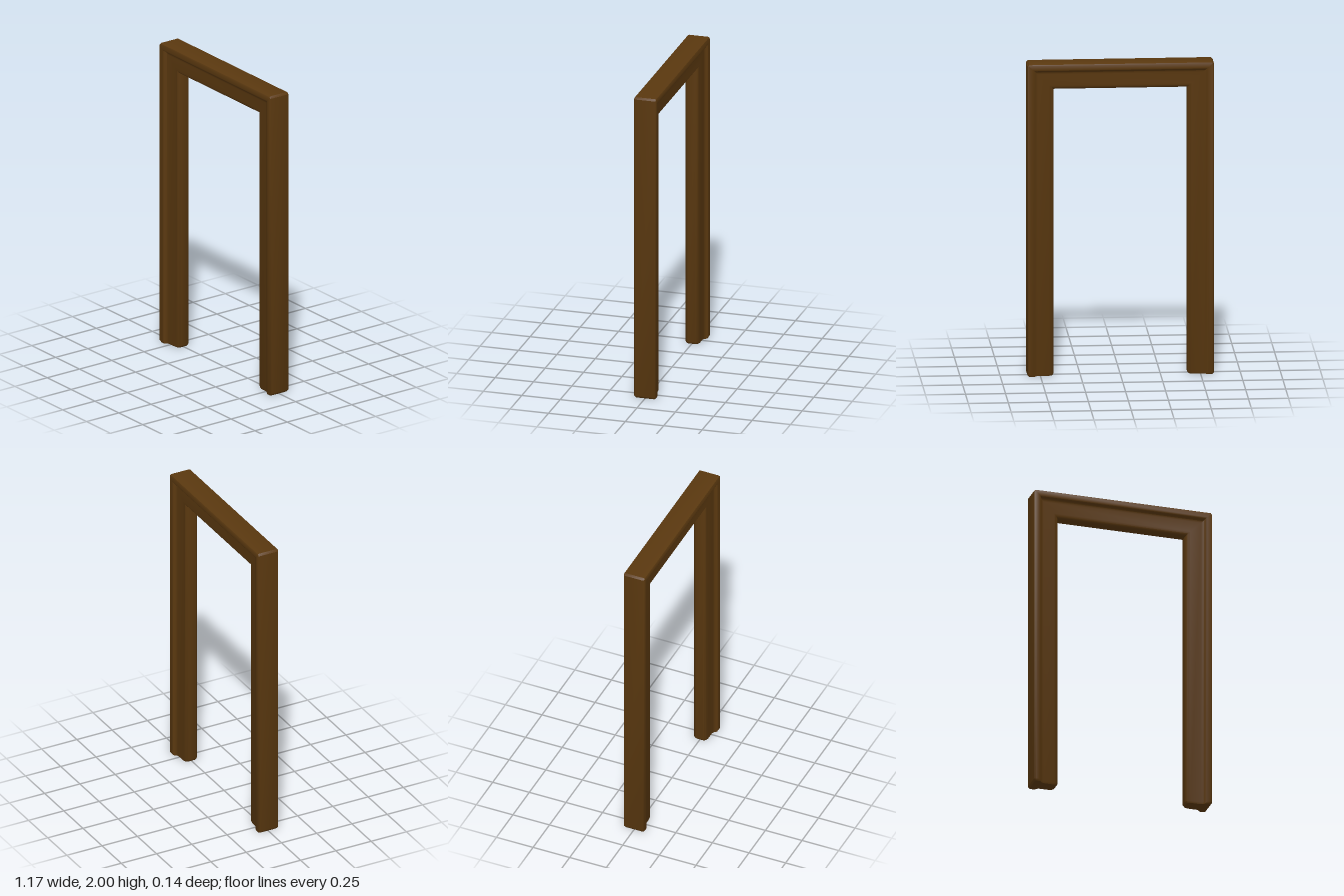
import * as THREE from 'three';
import { toCreasedNormals } from 'three/addons/utils/BufferGeometryUtils.js';

const HALF_WIDTH = 0.583, HEIGHT = 2, ROUND = 0.012;

// Front half of the moulding: [distance in from the outer edge, z]
const half = [
  [0, 0.062], [0.003, 0.069], [0.01, 0.072], [0.034, 0.072], [0.042, 0.069],
  [0.048, 0.06], [0.056, 0.052], [0.068, 0.048], [0.138, 0.047],
  [0.15, 0.043], [0.16, 0.036], [0.166, 0.026],
];
const profile = [...half, ...half.map(([w, z]) => [w, -z]).reverse()];

// Pull a cross-section in slightly for the softened feet
const inset = profile.map(([w, z]) => [0.083 + (w - 0.083) * 0.9, z * 0.9]);

function frameGeometry() {
  const corner = (w) => Math.max(0, ROUND - w);
  const leg = (section, side, yOf) => section.map(([w, z]) => new THREE.Vector3(side * (HALF_WIDTH - w), yOf(w), z));
  const lintel = (side) => profile.map(([w, z]) => new THREE.Vector3(side * (HALF_WIDTH - w - corner(w)), HEIGHT - w, z));
  const rings = [
    leg(inset, -1, () => 0),
    leg(profile, -1, () => 0.012),
    leg(profile, -1, (w) => HEIGHT - w - corner(w)),
    lintel(-1),
    lintel(1),
    leg(profile, 1, (w) => HEIGHT - w - corner(w)),
    leg(profile, 1, () => 0.012),
    leg(inset, 1, () => 0),
  ];

  const points = [];
  const addTriangle = (a, b, c) => {
    const area = b.clone().sub(a).cross(c.clone().sub(a)).length();
    if (area > 1e-10) points.push(a, b, c);
  };

  // Skin between neighbouring cross-sections
  for (let i = 0; i < rings.length - 1; i++) {
    for (let j = 0; j < profile.length; j++) {
      const k = (j + 1) % profile.length;
      const [a, b, c, d] = [rings[i][j], rings[i][k], rings[i + 1][k], rings[i + 1][j]];
      addTriangle(a, b, c);
      addTriangle(a, c, d);
    }
  }

  // Feet
  const outline = inset.map(([w, z]) => new THREE.Vector2(w, -z));
  const first = rings[0], last = rings[rings.length - 1];
  for (const [a, b, c] of THREE.ShapeUtils.triangulateShape(outline, [])) {
    addTriangle(first[c], first[b], first[a]);
    addTriangle(last[a], last[b], last[c]);
  }

  return toCreasedNormals(new THREE.BufferGeometry().setFromPoints(points), 0.7);
}

export function createModel() {
  const wood = new THREE.MeshStandardMaterial({ color: 0x5a380f });
  wood.name = 'dark brown wood';

  const frame = new THREE.Mesh(frameGeometry(), wood);
  frame.name = 'mouldedDoorFrame';

  const model = new THREE.Group();
  model.name = 'doorFrame';
  model.add(frame);
  return model;
}
